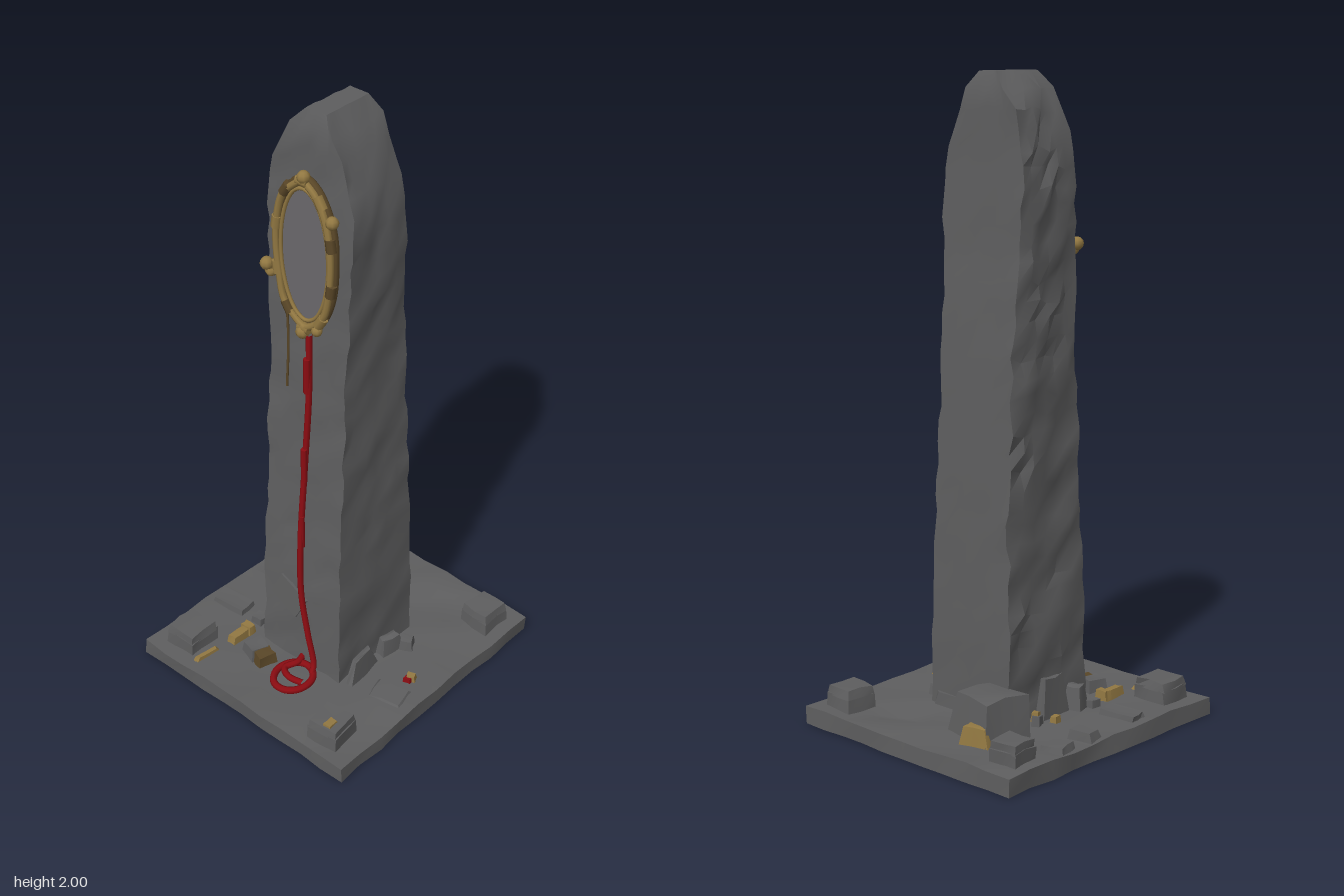
import * as THREE from 'three';
import { mergeVertices, toCreasedNormals } from 'three/addons/utils/BufferGeometryUtils.js';

const mat = (name, color, extra = {}) => Object.assign(new THREE.MeshStandardMaterial({ color, ...extra }), { name });
const V = (x, y, z) => new THREE.Vector3(x, y, z);

// Repeatable noise in -1..1 from a position
const noise = (x, y, z, k = 0) => {
  const s = Math.sin(x * 127.1 + y * 311.7 + z * 74.7 + k * 53.3) * 43758.5453;
  return (s - Math.floor(s)) * 2 - 1;
};

// Reshapes a welded geometry with a rule that edits each vertex
function reshape(geometry, rule, crease = 0.6) {
  geometry.deleteAttribute('uv');
  geometry.deleteAttribute('normal');
  const g = mergeVertices(geometry, 1e-4);
  const p = g.attributes.position;
  const v = new THREE.Vector3();
  for (let i = 0; i < p.count; i++) {
    rule(v.fromBufferAttribute(p, i));
    p.setXYZ(i, v.x, v.y, v.z);
  }
  g.computeVertexNormals();
  return toCreasedNormals(g, crease);
}

// Extents of the pillar by height: y, left edge, right edge, back, front
const PROFILE = [
  [0, -0.16, 0.175, -0.165, 0.195], [0.1, -0.15, 0.17, -0.165, 0.19],
  [0.35, -0.15, 0.17, -0.165, 0.18], [0.8, -0.145, 0.155, -0.152, 0.152],
  [1.2, -0.15, 0.15, -0.135, 0.133], [1.45, -0.155, 0.16, -0.117, 0.122],
  [1.69, -0.158, 0.163, -0.107, 0.116], [1.78, -0.15, 0.145, -0.105, 0.113],
  [1.88, -0.125, 0.112, -0.104, 0.11], [1.96, -0.07, 0.075, -0.102, 0.106],
  [2, -0.03, 0.04, -0.085, 0.09]];

function extents(y) {
  let i = 1;
  while (i < PROFILE.length - 1 && PROFILE[i][0] < y) i++;
  const a = PROFILE[i - 1], b = PROFILE[i];
  const t = THREE.MathUtils.clamp((y - a[0]) / (b[0] - a[0]), 0, 1);
  return a.map((n, k) => THREE.MathUtils.lerp(n, b[k], t)).slice(1);
}

export function createModel() {
  const group = new THREE.Group();
  const stone = mat('stone', 0x5e5e5f);
  const gold = mat('old gold', 0x927842);
  const bronze = mat('dark bronze', 0x5a4728);
  const red = mat('red rope', 0x8c0c12);
  const glass = mat('mirror glass', 0x6a686c);

  const add = (name, geometry, material, x = 0, y = 0, z = 0) => {
    const m = new THREE.Mesh(geometry, material);
    m.name = name;
    m.position.set(x, y, z);
    group.add(m);
    return m;
  };
  const tube = (name, points, r, material, closed = false, seg = 60) =>
    add(name, new THREE.TubeGeometry(new THREE.CatmullRomCurve3(points, closed), seg, r, 7, closed), material);

  // Irregular chunk standing on height y, narrowing to the top
  function chunk(name, material, [x, y, z, w, h, d, turn = 0, taper = 0.9]) {
    const g = reshape(new THREE.BoxGeometry(1, 1, 1, 2, 1, 2), v => {
      const k = x * 7 + z * 13, n = [0, 1, 2].map(i => noise(v.x, v.y, v.z, k + i) * 0.05);
      const s = v.y > 0 ? taper : 1;
      v.set((v.x * s + n[0]) * w, (v.y + 0.5 + (v.y > 0 ? n[1] : 0)) * h, (v.z * s + n[2]) * d);
    }, 0.5);
    add(name, g, material, x, y, z).rotation.y = turn;
  }

  // Uneven ground slab
  add('groundSlab', reshape(new THREE.BoxGeometry(0.86, 0.055, 0.925, 10, 1, 10), v => {
    const top = v.y > 0, x = v.x, z = v.z;
    const rim = Math.abs(x) > 0.42 || Math.abs(z) > 0.45;
    v.y += 0.0275 + (top ? noise(x, 0, z) * 0.007 : 0);
    if (top && Math.hypot(x - 0.12, z + 0.28) < 0.06) v.y -= 0.02;
    if (rim) {
      v.x += noise(x, v.y, z, 1) * 0.006;
      v.z += noise(x, v.y, z, 2) * 0.004;
    }
  }, 0.7), stone);

  // Weathered pillar, roughest on its front and right flank
  add('pillar', reshape(new THREE.BoxGeometry(1, 2, 1, 6, 36, 6), v => {
    const y = v.y + 1, [l, r, b, f] = extents(y);
    const amount = v.z > 0.49 ? 0.007 : v.x < -0.49 ? 0.012 : v.x > 0.49 ? 0.006 : 0.003;
    const n = i => noise(v.x, y, v.z, i);
    const fade = y > 1.97 ? 0.3 : 1;
    const dx = Math.abs(v.x) > 0.49 ? n(1) * amount * fade : n(1) * 0.006;
    const dz = Math.abs(v.z) > 0.49 ? n(2) * amount * fade * (v.z > 0 ? 0.8 : 0.5) : n(2) * 0.006;
    const dy = y > 0.01 && y < 1.99 ? n(3) * 0.012 : 0;
    v.set(THREE.MathUtils.lerp(l, r, v.x + 0.5) + dx, y + dy, THREE.MathUtils.lerp(b, f, v.z + 0.5) + dz);
  }, 0.65), stone);

  // Corner blocks with a smaller cap
  for (const [x, z, s, turn] of [[-0.345, -0.355, 0.1, 0.08], [0.335, -0.36, 0.11, -0.06],
    [-0.32, 0.355, 0.12, 0], [0.305, 0.37, 0.11, 0.1]]) {
    chunk('cornerBlock', stone, [x, 0.045, z, s, 0.055, s, turn, 0.96]);
    chunk('cornerBlockCap', stone, [x, 0.095, z, s * 0.95, 0.028, s * 0.95, turn, 0.92]);
  }

  // Fallen stones: x, y, z, width, height, depth, turn, taper
  for (const c of [
    [-0.145, 0.04, -0.235, 0.185, 0.14, 0.17, -0.2, 0.85],
    [-0.178, 0.03, 0, 0.04, 0.15, 0.13, 0.05, 0.6],
    [-0.19, 0.03, 0.1, 0.07, 0.1, 0.07, 0.3, 0.6],
    [0.195, 0.03, 0.1, 0.035, 0.1, 0.17, 0.12, 0.5],
    [0.19, 0.03, -0.04, 0.05, 0.08, 0.1, -0.1, 0.6],
    [0.225, 0.04, -0.09, 0.045, 0.05, 0.05, 0.5, 0.8],
    [-0.215, 0.04, 0.145, 0.04, 0.04, 0.04, 0, 0.9],
    [-0.21, 0.04, -0.1, 0.03, 0.05, 0.04, 0.4, 0.8],
    [-0.37, 0.045, -0.07, 0.09, 0.035, 0.06, 0.2, 0.8],
    [-0.34, 0.045, 0.14, 0.13, 0.03, 0.07, 0.1, 0.9],
    [-0.38, 0.045, -0.2, 0.08, 0.03, 0.09, 0.3, 0.8],
    [0.33, 0.045, 0.12, 0.14, 0.02, 0.1, 0.2, 0.8],
    [0.02, 0.04, -0.16, 0.3, 0.06, 0.04, 0, 0.8]]) chunk('fallenStone', stone, c);

  // Cracked shard on the lower front
  const shard = add('frontShard', new THREE.BoxGeometry(0.12, 0.1, 0.03), stone, -0.04, 0.3, 0.175);
  shard.rotation.set(-0.06, 0, -0.45);

  // Oval mirror
  const cx = 0.005, cy = 1.57;
  const oval = (rx, ry, z, wobble = 0) => Array.from({ length: 16 }, (_, i) => {
    const a = i / 16 * Math.PI * 2, k = 1 + noise(i, z, 0) * wobble;
    return V(cx + Math.cos(a) * rx * k, cy + Math.sin(a) * ry * k, z);
  });
  const pane = add('mirrorPane', new THREE.CylinderGeometry(1, 1, 0.02, 32), glass, cx, cy, 0.125);
  pane.rotation.x = Math.PI / 2;
  pane.scale.set(0.1, 1, 0.225);
  tube('frameBack', oval(0.11, 0.242, 0.135, 0.02), 0.013, bronze, true, 64);
  tube('frameFront', oval(0.106, 0.238, 0.149, 0.04), 0.011, gold, true, 64);
  tube('frameInnerRim', oval(0.09, 0.215, 0.145), 0.006, gold, true, 64);

  // Ornaments around the frame
  for (let i = 0; i < 10; i++) {
    const a = (i + 0.5) / 10 * Math.PI * 2;
    const knot = add('frameKnot', new THREE.CylinderGeometry(0.016, 0.016, 0.04, 7), i % 3 ? gold : bronze,
      cx + Math.cos(a) * 0.108, cy + Math.sin(a) * 0.24, 0.147);
    knot.rotation.z = Math.atan2(Math.cos(a) * 0.24, -Math.sin(a) * 0.108) - Math.PI / 2;
  }
  for (const [x, y, r] of [[-0.138, 1.49, 0.021], [0.115, 1.72, 0.02], [0.01, 1.825, 0.02], [0, 1.315, 0.022], [0.055, 1.34, 0.017]])
    add('frameKnob', new THREE.SphereGeometry(r, 8, 6), gold, x, y, 0.15);
  tube('frameHook', [V(-0.14, 1.49, 0.15), V(-0.125, 1.465, 0.15), V(-0.1, 1.48, 0.15)], 0.012, gold, false, 10);

  // Thin loose cord beside the mirror
  tube('looseCord', [V(-0.07, 1.37, 0.14), V(-0.065, 1.25, 0.142), V(-0.068, 1.09, 0.148)], 0.004, bronze, false, 16);

  // Hanging rope, ending in a coil on the ground
  tube('hangingRope', [V(0.02, 1.31, 0.145), V(0.024, 1.1, 0.153), V(0.018, 0.85, 0.167), V(0.018, 0.55, 0.192),
    V(0.024, 0.35, 0.198), V(0.055, 0.2, 0.203), V(0.085, 0.09, 0.21), V(0.09, 0.07, 0.225)], 0.01, red);
  for (const [y, s] of [[1.17, 1.5], [0.85, 1.3], [0.6, 1.2]])
    add('ropeKnot', new THREE.CylinderGeometry(0.008 * s, 0.008 * s, 0.12, 7), red, 0.02, y, 0.155 + (1.17 - y) * 0.055);
  tube('ropeCoil', Array.from({ length: 14 }, (_, i) => {
    const a = i / 14 * Math.PI * 2;
    return V(0.053 + Math.cos(a) * 0.06, 0.066, 0.272 + Math.sin(a) * 0.068);
  }), 0.012, red, true);
  tube('ropeCoilCross', [V(0.015, 0.075, 0.18), V(0.025, 0.075, 0.22), V(0.01, 0.072, 0.265),
    V(0.05, 0.075, 0.29), V(0.1, 0.072, 0.28)], 0.011, red, false, 30);

  // Broken gilded pieces lying about
  for (const c of [
    [-0.18, 0.05, -0.325, 0.1, 0.06, 0.05, 0.25, 0.7],
    [-0.208, 0.045, 0.25, 0.032, 0.04, 0.09, 0, 0.8],
    [-0.208, 0.06, 0.21, 0.045, 0.03, 0.03, 0, 0.8],
    [-0.23, 0.045, 0.38, 0.02, 0.025, 0.11, -0.15, 0.7],
    [-0.205, 0.07, -0.1, 0.025, 0.03, 0.025, 0.3, 0.8],
    [-0.225, 0.045, -0.035, 0.025, 0.03, 0.03, 0.2, 0.8],
    [0.32, 0.115, 0.39, 0.03, 0.014, 0.04, 0, 0.9],
    [0.34, 0.05, 0.025, 0.036, 0.03, 0.03, 0.4, 0.7]]) chunk('gildedFragment', gold, c);
  chunk('redScrap', red, [0.337, 0.05, 0.038, 0.028, 0.025, 0.022, 0.2, 0.8]);
  chunk('bronzeFragment', bronze, [-0.075, 0.045, 0.27, 0.055, 0.045, 0.07, -0.3, 0.8]);
  chunk('brokenStone', stone, [-0.12, 0.045, 0.262, 0.065, 0.05, 0.07, -0.3, 0.85]);

  return group;
}
